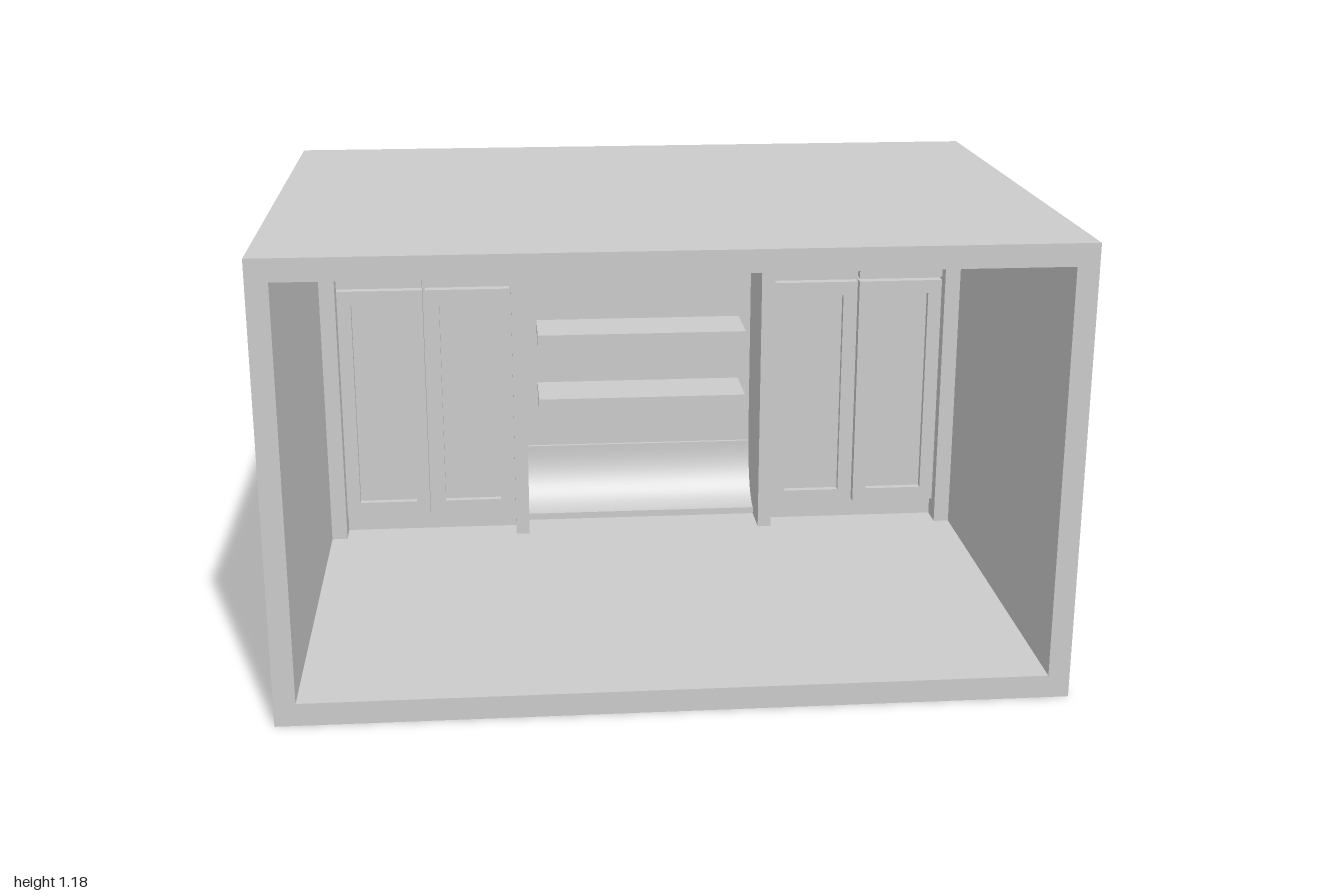
import * as THREE from 'three';
import { toCreasedNormals } from 'three/addons/utils/BufferGeometryUtils.js';

const material = new THREE.MeshStandardMaterial({ color: 0xcccccc });
const FLOOR = 0.06, CEILING = 1.125, INNER_BACK = -0.665;

function addMesh(parent, name, geometry) {
  const mesh = new THREE.Mesh(geometry, material);
  mesh.name = name;
  parent.add(mesh);
  return mesh;
}

// Box given by its limits on each axis
function addBox(parent, name, x0, x1, y0, y1, z0, z1) {
  const mesh = addMesh(parent, name, new THREE.BoxGeometry(x1 - x0, y1 - y0, z1 - z0));
  mesh.position.set((x0 + x1) / 2, (y0 + y1) / 2, (z0 + z1) / 2);
  return mesh;
}

function rectPoints(x0, x1, y0, y1) {
  return [[x0, y0], [x1, y0], [x1, y1], [x0, y1]].map(([x, y]) => new THREE.Vector2(x, y));
}

// Rectangular frame extruded from z0 to z1
function addFrame(parent, name, outer, inner, z0, z1) {
  const shape = new THREE.Shape(rectPoints(...outer));
  shape.holes.push(new THREE.Path(rectPoints(...inner)));
  const geometry = new THREE.ExtrudeGeometry(shape, { depth: z1 - z0, bevelEnabled: false });
  geometry.translate(0, 0, z0);
  return addMesh(parent, name, geometry);
}

// Door with a recessed centre panel
function addDoor(parent, x0, x1, y0, y1) {
  const door = new THREE.Group();
  door.name = 'door';
  const b = 0.04;
  addFrame(door, 'doorFrame', [x0, x1, y0, y1], [x0 + b, x1 - b, y0 + b, y1 - b], -0.43, -0.4);
  addBox(door, 'doorPanel', x0 + b, x1 - b, y0 + b, y1 - b, -0.43, -0.42);
  parent.add(door);
}

// Concave moulding across the alcove, profile drawn in z and y
function addCove(parent, name, base, lip, end, rim) {
  const front = -0.48, back = -0.6;
  const points = [new THREE.Vector2(INNER_BACK, base), new THREE.Vector2(front, base)];
  for (let i = 0; i <= 16; i++) {
    const t = (i / 16) * Math.PI / 2;
    points.push(new THREE.Vector2(
      front + (back - front) * Math.sin(t),
      end + (lip - end) * Math.cos(t)));
  }
  points.push(new THREE.Vector2(back, rim), new THREE.Vector2(INNER_BACK, rim));
  const geometry = new THREE.ExtrudeGeometry(new THREE.Shape(points), { depth: 0.7, bevelEnabled: false });
  geometry.translate(0, 0, -0.35);
  geometry.rotateY(-Math.PI / 2);
  addMesh(parent, name, toCreasedNormals(geometry, 0.4));
}

// One bank of cupboards; side is -1 or 1
function addCupboards(parent, side) {
  const bank = new THREE.Group();
  bank.name = side > 0 ? 'leftCupboards' : 'rightCupboards';
  const span = (a, b) => (side > 0 ? [a, b] : [-b, -a]);

  addBox(bank, 'innerPost', ...span(0.35, 0.39), FLOOR, CEILING, INNER_BACK, -0.367);
  addBox(bank, 'outerPost', ...span(0.9, 0.945), FLOOR, CEILING, INNER_BACK, -0.367);
  addBox(bank, 'toeKick', ...span(0.39, 0.9), FLOOR, 0.122, INNER_BACK, -0.44);
  addBox(bank, 'carcass', ...span(0.39, 0.9), 0.122, CEILING, INNER_BACK, -0.43);

  for (const [a, b] of [[0.395, 0.641], [0.649, 0.898]]) {
    addDoor(bank, ...span(a, b), 0.122, 0.82);
    addDoor(bank, ...span(a, b), 0.83, 1.12);
  }
  parent.add(bank);
}

export function createModel() {
  const model = new THREE.Group();
  model.name = 'roomWithCabinet';

  // Room shell, open at the front
  addFrame(model, 'roomShell', [-1, 1, 0, 1.182], [-0.945, 0.945, FLOOR, CEILING], -0.72, 0.72);
  addBox(model, 'backWall', -0.945, 0.945, FLOOR, CEILING, -0.72, INNER_BACK);

  addCupboards(model, -1);
  addCupboards(model, 1);

  // Central alcove with curved top and bottom and three shelves
  const alcove = new THREE.Group();
  alcove.name = 'alcove';
  addBox(alcove, 'alcoveBack', -0.35, 0.35, FLOOR, CEILING, INNER_BACK, -0.61);
  addCove(alcove, 'bottomCove', FLOOR, 0.08, 0.245, 0.26);
  addCove(alcove, 'topCove', CEILING, 1.105, 1.04, 1.03);
  for (const y of [0.43, 0.63, 0.832]) {
    addBox(alcove, 'shelf', -0.313, 0.313, y, y + 0.036, -0.615, -0.43);
  }
  model.add(alcove);

  return model;
}
